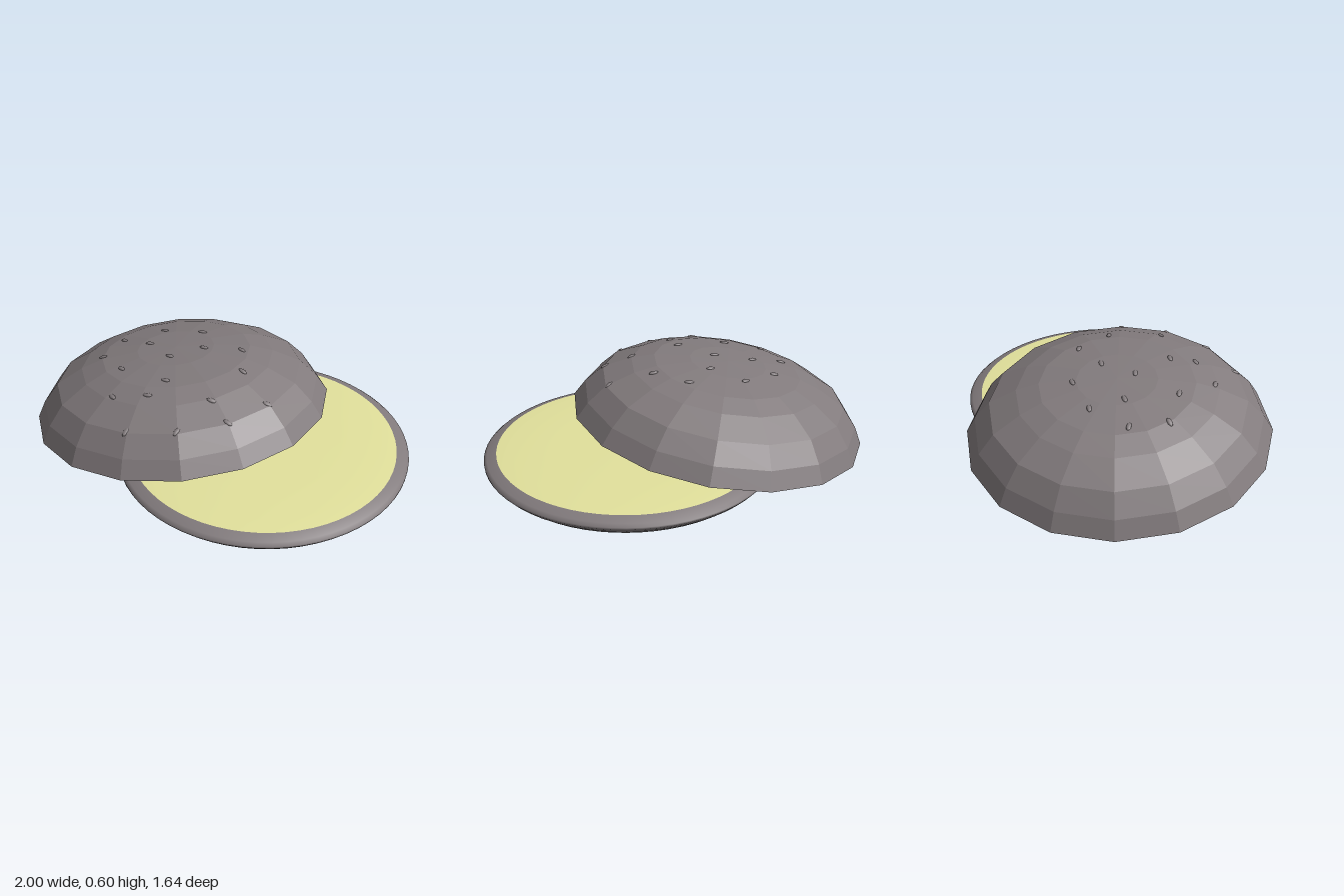
import * as THREE from 'three';

const bunGrey = new THREE.MeshStandardMaterial({ name: 'bunGrey', color: 0x827b7d });
const fillingYellow = new THREE.MeshStandardMaterial({ name: 'fillingYellow', color: 0xe2e19c });

function addLathe(parent, name, profile, sides, material, faceted = false) {
  let geometry = new THREE.LatheGeometry(profile.map(([r, y]) => new THREE.Vector2(r, y)), sides);
  if (faceted) {
    geometry = geometry.toNonIndexed();
    geometry.computeVertexNormals();
  }
  const mesh = new THREE.Mesh(geometry, material);
  mesh.name = name;
  parent.add(mesh);
}

// Faceted dome of the upper half, from the rim to the apex
const dome = [[0.77, 0], [0.722, 0.088], [0.64, 0.184], [0.5, 0.26], [0.385, 0.3], [0.2, 0.326], [0, 0.332]];

// Height and slope of the dome at radius r
function domeSlice(r) {
  const i = Math.max(1, dome.findIndex(([ring]) => ring <= r));
  const [r0, h0] = dome[i];
  const [r1, h1] = dome[i - 1];
  const slope = (h1 - h0) / (r1 - r0);
  return { h: h0 + slope * (r - r0), slope };
}

// Seed positions as seen from above (x, z)
const seedSpots = [
  [-0.43, -0.28], [-0.215, -0.29], [-0.61, -0.15], [-0.44, -0.105], [-0.135, -0.11], [0.055, -0.16],
  [-0.645, 0.04], [-0.275, 0.015], [0.13, 0.03], [0.31, 0.17], [-0.48, 0.16], [-0.205, 0.23],
  [0.065, 0.295], [-0.43, 0.375], [-0.25, 0.35], [0.18, 0.375], [-0.03, 0.51], [-0.275, 0.56],
];

export function createModel() {
  const model = new THREE.Group();
  model.name = 'openBun';

  // Lower half: smooth shallow dish with a filling on top
  const lower = new THREE.Group();
  lower.name = 'lowerHalf';
  lower.position.set(0.254, 0, 0.067);
  model.add(lower);
  addLathe(lower, 'bottomBun', [
    [0, 0], [0.2, 0.003], [0.34, 0.01], [0.45, 0.022], [0.54, 0.041], [0.62, 0.071], [0.68, 0.105],
    [0.725, 0.14], [0.745, 0.162], [0.746, 0.173], [0.73, 0.187], [0.682, 0.202],
  ], 64, bunGrey);
  addLathe(lower, 'filling', [[0.682, 0.202], [0.6, 0.209], [0.4, 0.217], [0, 0.221]], 64, fillingYellow);

  // Upper half: tilted low-poly dome with a shallow closed underside
  const upper = new THREE.Group();
  upper.name = 'upperHalf';
  upper.position.set(-0.24, 0.24, -0.055);
  const up = new THREE.Vector3(0, 1, 0);
  upper.quaternion.setFromUnitVectors(up, new THREE.Vector3(-0.132, 1, -0.085).normalize());
  model.add(upper);
  addLathe(upper, 'topBun', [[0, -0.04], [0.55, -0.039], [0.69, -0.032], ...dome], 16, bunGrey, true);

  // Seeds lying on the dome
  const seedShape = new THREE.SphereGeometry(1, 10, 6).scale(0.025, 0.008, 0.0125);
  seedSpots.forEach(([x, z], i) => {
    let u, v, slice = { h: 0.3 };
    for (let k = 0; k < 5; k++) {
      u = x + 0.24 + 0.131 * slice.h;
      v = z + 0.055 + 0.084 * slice.h;
      slice = domeSlice(Math.hypot(u, v) * 1.01);
    }
    const r = Math.hypot(u, v);
    const normal = new THREE.Vector3(-slice.slope * u / r, 1, -slice.slope * v / r).normalize();
    const seed = new THREE.Mesh(seedShape, bunGrey);
    seed.name = 'seed' + (i + 1);
    seed.position.set(u, slice.h, v);
    seed.quaternion.setFromUnitVectors(up, normal);
    seed.rotateY(z > 0.45 ? 1.3 : -0.25 + 0.35 * Math.sin(i * 2.3));
    upper.add(seed);
  });

  return model;
}
